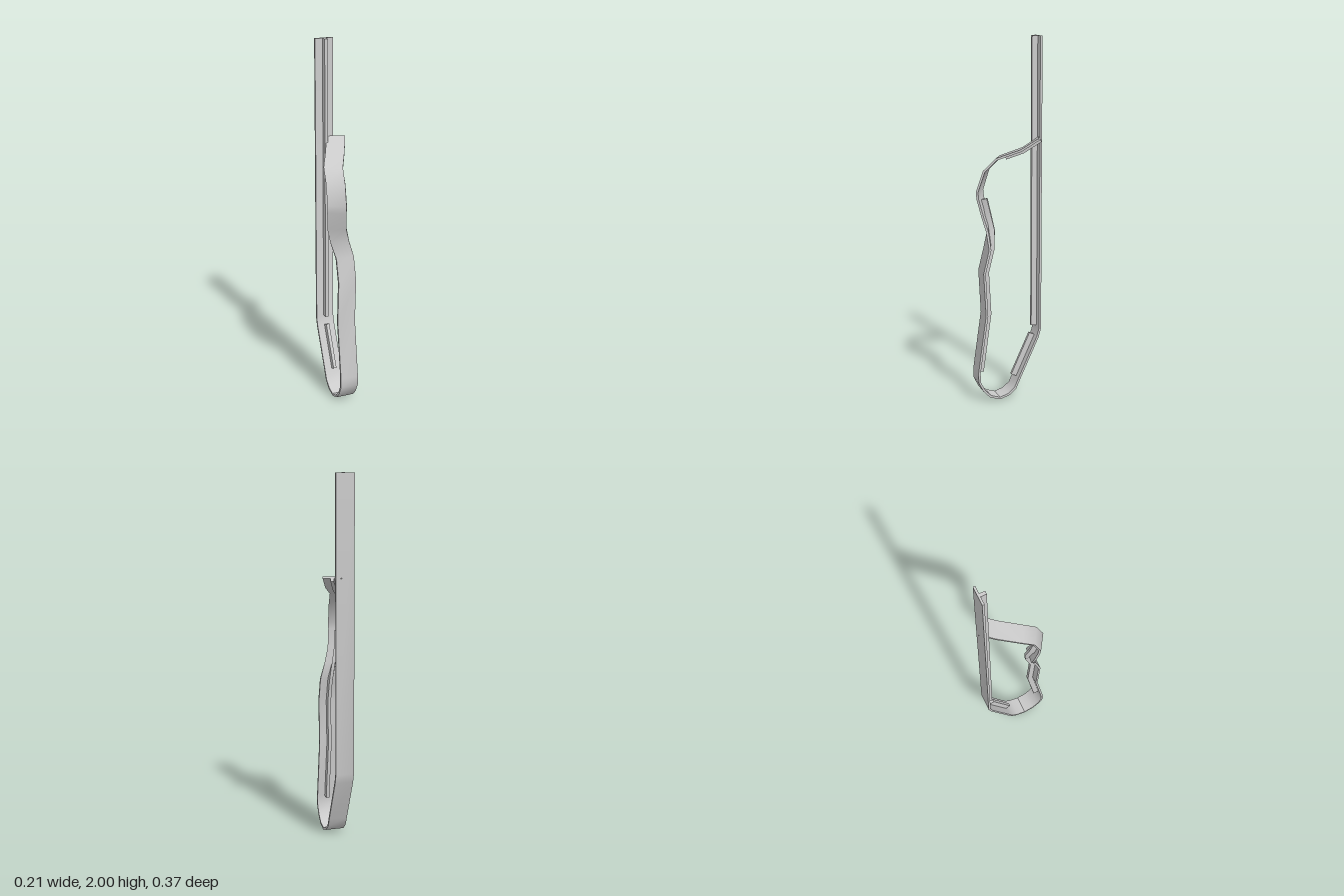
import * as THREE from 'three';
import { toCreasedNormals } from 'three/addons/utils/BufferGeometryUtils.js';

// Centre line of the strip's outer face: x, y, z, twist in degrees.
const path = [
  [-0.003, 2, -0.18, 0],
  [-0.003, 0.39, -0.182, 0],
  [-0.003, 0.34, -0.168, 0],
  [-0.003, 0.1, -0.058, 0],
  [-0.003, 0.053, -0.037, 0],
  [-0.003, 0.018, 0.003, 0],
  [-0.003, 0, 0.058, 0],
  [-0.003, 0.018, 0.116, 0],
  [-0.003, 0.058, 0.155, 0],
  [-0.003, 0.11, 0.181, 0],
  [-0.003, 0.165, 0.182, 0],
  [-0.003, 0.49, 0.137, 0],
  [-0.003, 0.73, 0.15, 0],
  [-0.003, 0.86, 0.118, 0],
  [-0.03, 0.95, 0.107, 20],
  [-0.052, 1.03, 0.119, 29],
  [-0.062, 1.13, 0.14, 33],
  [-0.062, 1.17, 0.144, 33],
  [-0.055, 1.285, 0.108, 31],
  [-0.04, 1.353, 0.042, 28],
  [0.02, 1.403, -0.075, 26],
  [0.06, 1.465, -0.158, 23],
];

// Station at a fractional index along the path.
function at(t) {
  const i = Math.min(Math.floor(t), path.length - 2);
  return path[i].map((v, k) => v + (path[i + 1][k] - v) * (t - i));
}

// Bar swept along part of the path, between two depths inside the outer face.
function sweep(name, from, to, width, near, far) {
  const ts = [from];
  for (let i = Math.floor(from) + 1; i < to; i++) ts.push(i);
  ts.push(to);
  const st = ts.map(at);
  const pts = st.map((s) => new THREE.Vector3(s[0], s[1], s[2]));
  const pos = [], idx = [];
  pts.forEach((p, i) => {
    const a = THREE.MathUtils.degToRad(st[i][3]);
    const w = new THREE.Vector3(Math.cos(a), 0, Math.sin(a));
    const before = p.clone().sub(pts[Math.max(i - 1, 0)]).normalize();
    const after = pts[Math.min(i + 1, pts.length - 1)].clone().sub(p).normalize();
    const tangent = before.clone().add(after).normalize();
    const miter = 1 / Math.max(0.8, tangent.dot(i ? before : after));
    const out = w.clone().cross(tangent).normalize();
    for (const [sx, d] of [[-1, near], [1, near], [1, far], [-1, far]]) {
      const v = p.clone().addScaledVector(w, sx * width / 2).addScaledVector(out, -d * miter);
      pos.push(v.x, v.y, v.z);
    }
    if (i > 0) {
      const b = i * 4;
      for (let k = 0; k < 4; k++) {
        const n = (k + 1) % 4;
        idx.push(b - 4 + k, b - 4 + n, b + n, b - 4 + k, b + n, b + k);
      }
    }
  });
  const e = pos.length / 3 - 4;
  idx.push(0, 2, 1, 0, 3, 2, e, e + 1, e + 2, e, e + 2, e + 3);
  const geo = new THREE.BufferGeometry();
  geo.setAttribute('position', new THREE.Float32BufferAttribute(pos, 3));
  geo.setIndex(idx);
  const mesh = new THREE.Mesh(
    toCreasedNormals(geo, 0.6),
    new THREE.MeshStandardMaterial({ color: 0xcccccc, side: THREE.DoubleSide })
  );
  mesh.name = name;
  return mesh;
}

export function createModel() {
  const group = new THREE.Group();
  group.name = 'bentHook';
  // Bent and twisted flat strip
  group.add(sweep('strip', 0, path.length - 1, 0.102, 0, 0.012));
  // Stiffening ribs on the inner face
  const ribs = [
    ['backRib', 0, 0.994],
    ['slopeRib', 2, 2.97],
    ['frontRib', 10, 15.9],
    ['tipRib', 19.3, 21],
  ];
  for (const [name, from, to] of ribs) {
    const depth = name === 'tipRib' ? 0.028 : 0.043;
    group.add(sweep(name, from, to, 0.018, 0.01, depth));
  }
  return group;
}
